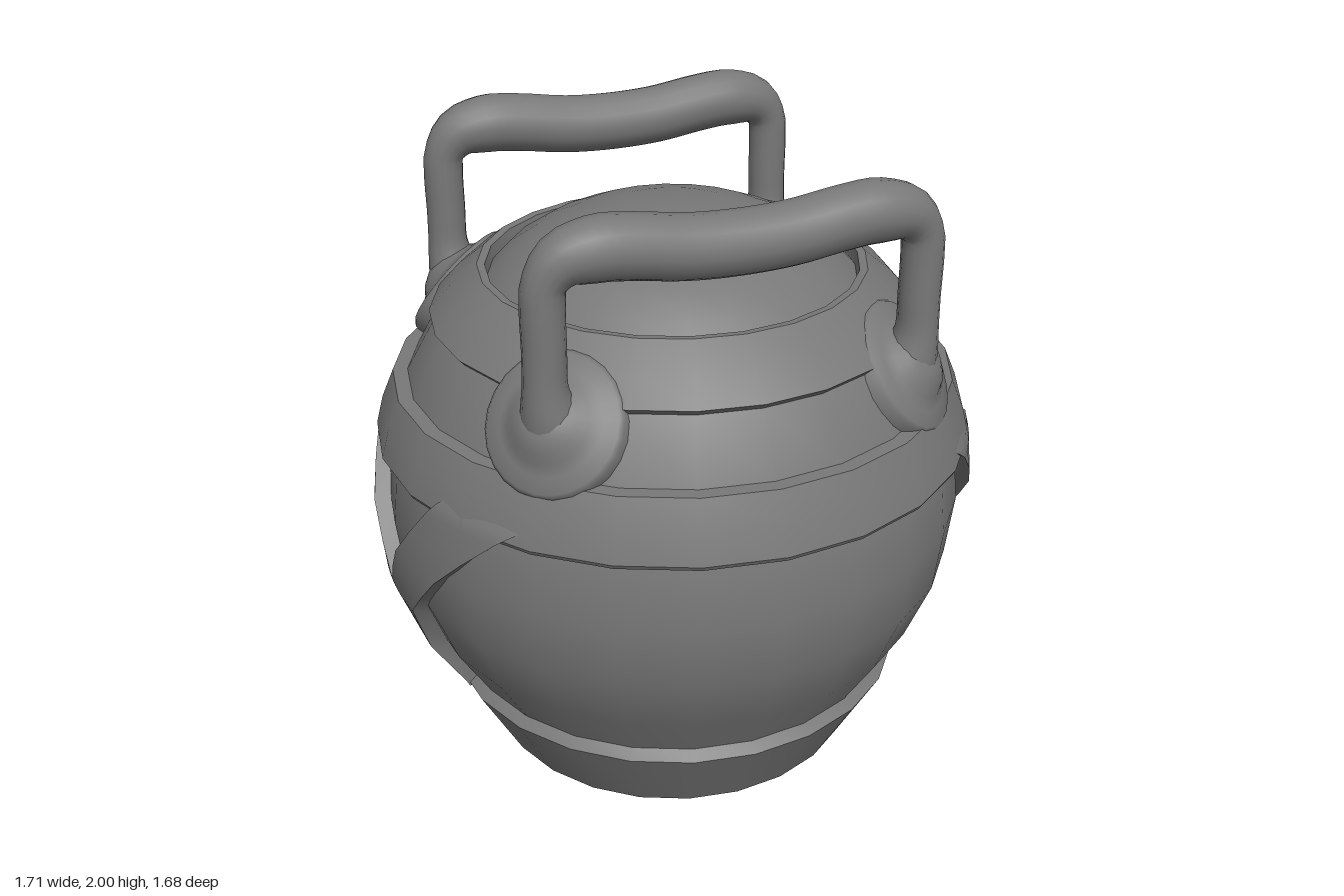
import * as THREE from 'three';
import { mergeGeometries, toCreasedNormals } from 'three/addons/utils/BufferGeometryUtils.js';

const material = new THREE.MeshStandardMaterial({ color: 0x787878 });

function addMesh(parent, name, geometry) {
  const mesh = new THREE.Mesh(geometry, material);
  mesh.name = name;
  parent.add(mesh);
  return mesh;
}

// Profile points are [radius, y], from bottom to top
function lathe(profile, sides = 24, crease = 0.5) {
  const points = profile.map(([r, y]) => new THREE.Vector2(r, y));
  return toCreasedNormals(new THREE.LatheGeometry(points, sides), crease);
}

// Piecewise linear lookup in a table of [key, value]
function lookup(table, k) {
  for (let i = 1; i < table.length; i++) {
    const [k0, v0] = table[i - 1], [k1, v1] = table[i];
    if (k <= k1) return v0 + (v1 - v0) * (k - k0) / (k1 - k0);
  }
  return table[table.length - 1][1];
}

// One half of the Y-shaped strap, wrapped around the body on the +x side
const strapRadius = [[0.42, 0.667], [0.44, 0.677], [0.6, 0.777], [0.79, 0.848], [0.97, 0.866], [1.165, 0.845], [1.2, 0.836], [1.23, 0.815]];
const strapEdge = [[0.42, 0.078], [0.44, 0.08], [0.6, 0.1], [0.79, 0.18], [1.165, 0.52], [1.23, 0.58]];
const strapHole = [[0.42, 0], [0.79, 0], [1.165, 0.3], [1.23, 0.35]];

function strapHalf(side) {
  const rows = [0.42, 0.44, 0.52, 0.6, 0.7, 0.79, 0.88, 0.97, 1.07, 1.165, 1.2, 1.23];
  const across = 5, cols = across + 3;
  const positions = [], index = [];
  rows.forEach((y, i) => {
    const r = lookup(strapRadius, y);
    const a = Math.asin(lookup(strapHole, y) / r), b = Math.asin(lookup(strapEdge, y) / r);
    for (let j = 0; j < cols; j++) {
      // first and last columns sink into the body as side walls
      const t = THREE.MathUtils.clamp((j - 1) / across, 0, 1);
      const angle = a + (b - a) * t;
      const d = j === 0 || j === cols - 1 ? r - 0.08 : r;
      positions.push(d * Math.cos(angle), y, side * d * Math.sin(angle));
      if (i && j) {
        const p = (i - 1) * cols + j - 1, q = p + cols;
        if (side > 0) index.push(p, q, p + 1, q, q + 1, p + 1);
        else index.push(p, p + 1, q, q, p + 1, q + 1);
      }
    }
  });
  const geometry = new THREE.BufferGeometry();
  geometry.setAttribute('position', new THREE.Float32BufferAttribute(positions, 3));
  geometry.setIndex(index);
  return geometry;
}

// Carrying handle at the front (1) or back (-1): a swept tube with a thicker, sagging grip
function handleGeometry(side) {
  const half = [
    [0.46, 1.41, 0.46], [0.495, 1.475, 0.49], [0.512, 1.56, 0.503], [0.512, 1.68, 0.505],
    [0.512, 1.79, 0.505], [0.505, 1.85, 0.505], [0.46, 1.9, 0.505], [0.37, 1.917, 0.505],
    [0.28, 1.91, 0.505], [0.14, 1.89, 0.505],
  ];
  const path = [...half, [0, 1.884, 0.505], ...half.slice().reverse().map(([x, y, z]) => [-x, y, z])];
  const curve = new THREE.CatmullRomCurve3(path.map(([x, y, z]) => new THREE.Vector3(x * 0.98 - 0.01, y, side * z)));
  const length = curve.getLength();
  const radii = [[0, 0.1], [0.09, 0.08], [0.15, 0.063], [0.2, 0.055], [0.46, 0.056], [0.54, 0.073], [0.61, 0.082], [1, 0.082]];
  const segments = 72, radial = 16;
  const geometry = new THREE.TubeGeometry(curve, segments, 1, radial);
  const pos = geometry.attributes.position, v = new THREE.Vector3();
  for (let i = 0; i <= segments; i++) {
    const u = i / segments, centre = curve.getPointAt(u);
    const r = lookup(radii, Math.min(u, 1 - u) * length);
    for (let j = 0; j <= radial; j++) {
      const k = i * (radial + 1) + j;
      v.fromBufferAttribute(pos, k).sub(centre).multiplyScalar(r).add(centre);
      pos.setXYZ(k, v.x, v.y, v.z);
    }
  }
  return toCreasedNormals(geometry, 1);
}

export function createModel() {
  const model = new THREE.Group();
  model.name = 'roundCanister';

  // Rounded shell
  addMesh(model, 'body', lathe([
    [0.62, 0.4], [0.645, 0.46], [0.735, 0.61], [0.805, 0.79], [0.825, 0.97],
    [0.805, 1.15], [0.745, 1.34], [0.655, 1.5], [0.6, 1.56],
  ]));

  // Base ring with a recessed underside
  addMesh(model, 'base', lathe([
    [0, 0.16], [0.355, 0.16], [0.365, 0.115], [0.4, 0.115], [0.53, 0.195],
    [0.548, 0.2], [0.672, 0.432], [0.64, 0.462], [0.6, 0.462],
  ]));

  // Raised band around the shoulder
  addMesh(model, 'shoulderBand', lathe([
    [0.77, 1.175], [0.835, 1.165], [0.842, 1.178], [0.82, 1.26], [0.785, 1.342], [0.72, 1.342],
  ]));

  // Collar with a rim, and the domed lid sunk inside it
  addMesh(model, 'collar', lathe([
    [0.6, 1.505], [0.65, 1.497], [0.672, 1.52], [0.61, 1.59], [0.535, 1.65], [0.513, 1.648], [0.505, 1.58],
  ]));
  addMesh(model, 'lid', lathe([
    [0.515, 1.605], [0.46, 1.665], [0.38, 1.718], [0.29, 1.757], [0.19, 1.782], [0.09, 1.793], [0, 1.796],
  ]));

  // Y-shaped straps on both sides
  const strap = toCreasedNormals(mergeGeometries([strapHalf(1), strapHalf(-1)]), 0.6);
  addMesh(model, 'leftStrap', strap);
  addMesh(model, 'rightStrap', strap).rotation.y = Math.PI;

  // Front and back handles
  addMesh(model, 'frontHandle', handleGeometry(1));
  addMesh(model, 'backHandle', handleGeometry(-1));

  // Tilted mounts under the handle feet: a disc sweeping up into a flare
  const mountShape = lathe([
    [0.19, -0.04], [0.19, 0.015], [0.18, 0.027], [0.14, 0.036], [0.11, 0.052], [0.088, 0.075], [0.05, 0.095], [0, 0.1],
  ], 24, 0.75);
  for (const x of [1, -1]) {
    for (const z of [1, -1]) {
      const mount = addMesh(model, 'handleMount', mountShape);
      mount.position.set(x * 0.475 - 0.005, 1.452, z * 0.475);
      mount.quaternion.setFromUnitVectors(new THREE.Vector3(0, 1, 0), new THREE.Vector3(x, 1, z).normalize());
    }
  }

  // Pegs under the base
  const peg = lathe([[0, 0], [0.055, 0], [0.066, 0.006], [0.072, 0.02], [0.072, 0.18]], 16);
  for (const x of [0.205, -0.205]) addMesh(model, 'peg', peg).position.x = x;

  return model;
}
